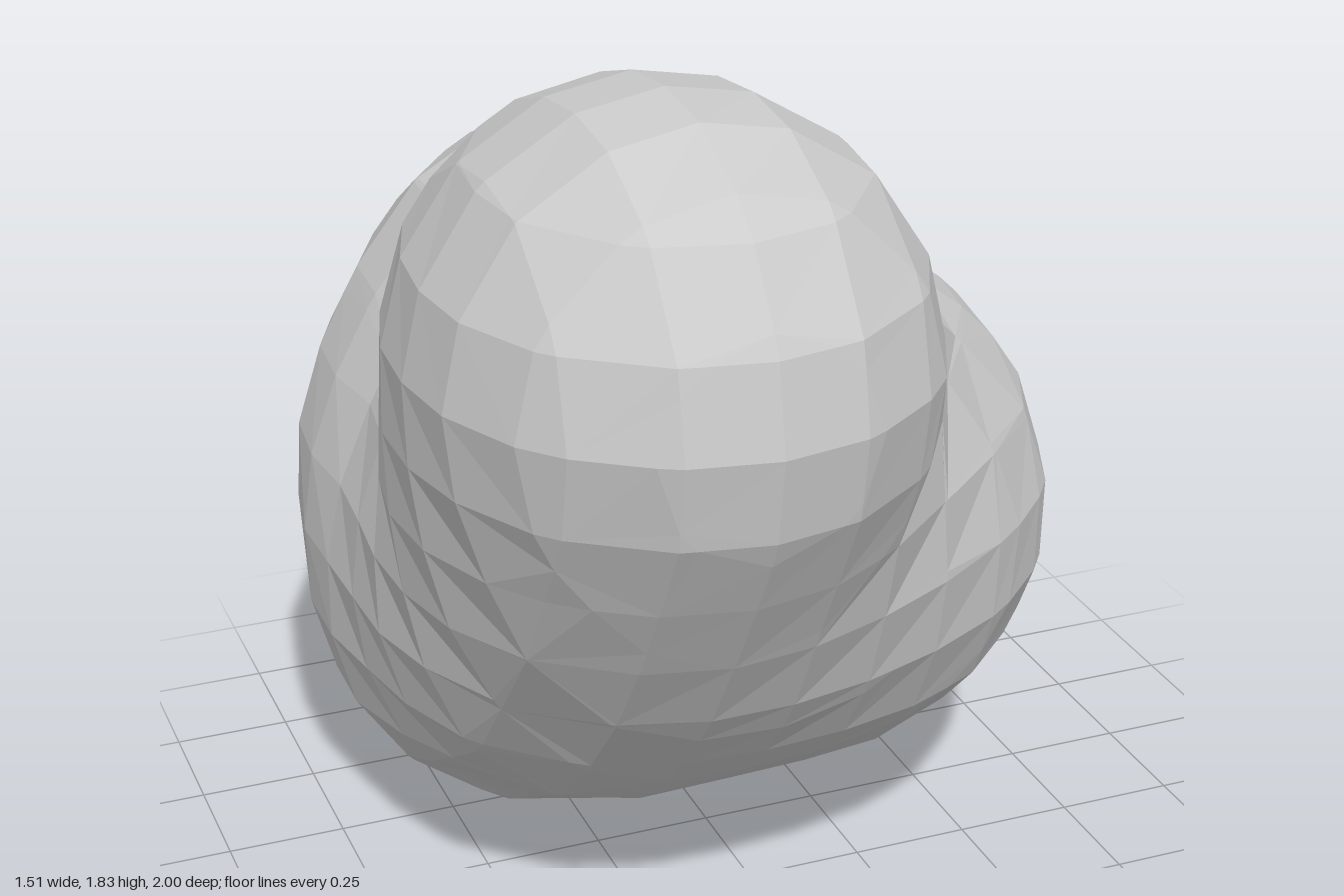
import * as THREE from 'three';

// Blob centres (x, y, z) and radii that melt into one body
const BLOBS = [
  [-0.25, 1.34, 0.515, 0.48], // upper front lobe
  [-0.25, 1.32, 0.25, 0.46],  // back of the upper lobe
  [-0.25, 1.00, 0.30, 0.47],  // throat
  [-0.25, 0.70, 0.03, 0.475], // belly
  [0.00, 0.86, 0.20, 0.44],   // fill between throat and side lobe
  [0.20, 0.75, 0.00, 0.515],  // side lobe, front half
  [0.20, 0.75, -0.19, 0.515], // side lobe, back half
  [-0.25, 0.49, -0.34, 0.485], // bottom lobe
  [-0.25, 0.75, -0.50, 0.46], // lower back
  [-0.09, 1.01, -0.51, 0.475], // upper back lobe
];
const BLEND = 0.07;

// Smoothly blended distance: negative inside
function field(p) {
  let sum = 0;
  for (const [x, y, z, r] of BLOBS) {
    sum += Math.exp((r - Math.hypot(p[0] - x, p[1] - y, p[2] - z)) / BLEND);
  }
  return -BLEND * Math.log(sum);
}

// Corner cycles of the six cube faces, counter-clockwise from outside
const FACES = [];
for (let a = 0; a < 3; a++) {
  const u = 1 << ((a + 1) % 3), v = 1 << ((a + 2) % 3), w = 1 << a;
  FACES.push([0, v, u | v, u], [w, w | u, w | u | v, w | v]);
}

// Polygonise the field on a coarse grid: trace the cut loops of every cell
function blobGeometry(origin, step, cells) {
  const out = [];
  for (let i = 0; i < cells[0]; i++)
    for (let j = 0; j < cells[1]; j++)
      for (let k = 0; k < cells[2]; k++) {
        const corner = [], value = [];
        for (let c = 0; c < 8; c++) {
          corner.push([
            origin[0] + step * (i + (c & 1)),
            origin[1] + step * (j + ((c >> 1) & 1)),
            origin[2] + step * (k + (c >> 2)),
          ]);
          value.push(field(corner[c]));
        }
        const next = new Map();
        for (const f of FACES) {
          for (let s = 0; s < 4; s++) {
            const a = f[s], b = f[(s + 1) % 4];
            if (!(value[a] < 0 && value[b] >= 0)) continue;
            // cut leaves the solid here; find where it enters again
            for (let t = 1; t < 4; t++) {
              const c = f[(s + t) % 4], d = f[(s + t + 1) % 4];
              if (value[c] >= 0 && value[d] < 0) {
                next.set(a * 8 + b, d * 8 + c);
                break;
              }
            }
          }
        }
        const point = (key) => {
          const a = key >> 3, b = key & 7;
          const t = value[a] / (value[a] - value[b]);
          return corner[a].map((q, n) => q + (corner[b][n] - q) * t);
        };
        while (next.size) {
          const loop = [];
          let key = next.keys().next().value;
          while (next.has(key)) {
            loop.push(point(key));
            const following = next.get(key);
            next.delete(key);
            key = following;
          }
          for (let n = 1; n < loop.length - 1; n++) {
            out.push(...loop[0], ...loop[n + 1], ...loop[n]);
          }
        }
      }
  const geometry = new THREE.BufferGeometry();
  geometry.setAttribute('position', new THREE.Float32BufferAttribute(out, 3));
  geometry.computeVertexNormals();
  return geometry;
}

export function createModel() {
  const group = new THREE.Group();
  group.name = 'blob';

  const body = new THREE.Mesh(
    blobGeometry([-0.936, -0.2035, -1.1155], 0.1715, [11, 13, 13]),
    new THREE.MeshStandardMaterial({ color: 0xcccccc, flatShading: true })
  );
  body.name = 'blobBody';
  group.add(body);
  return group;
}
